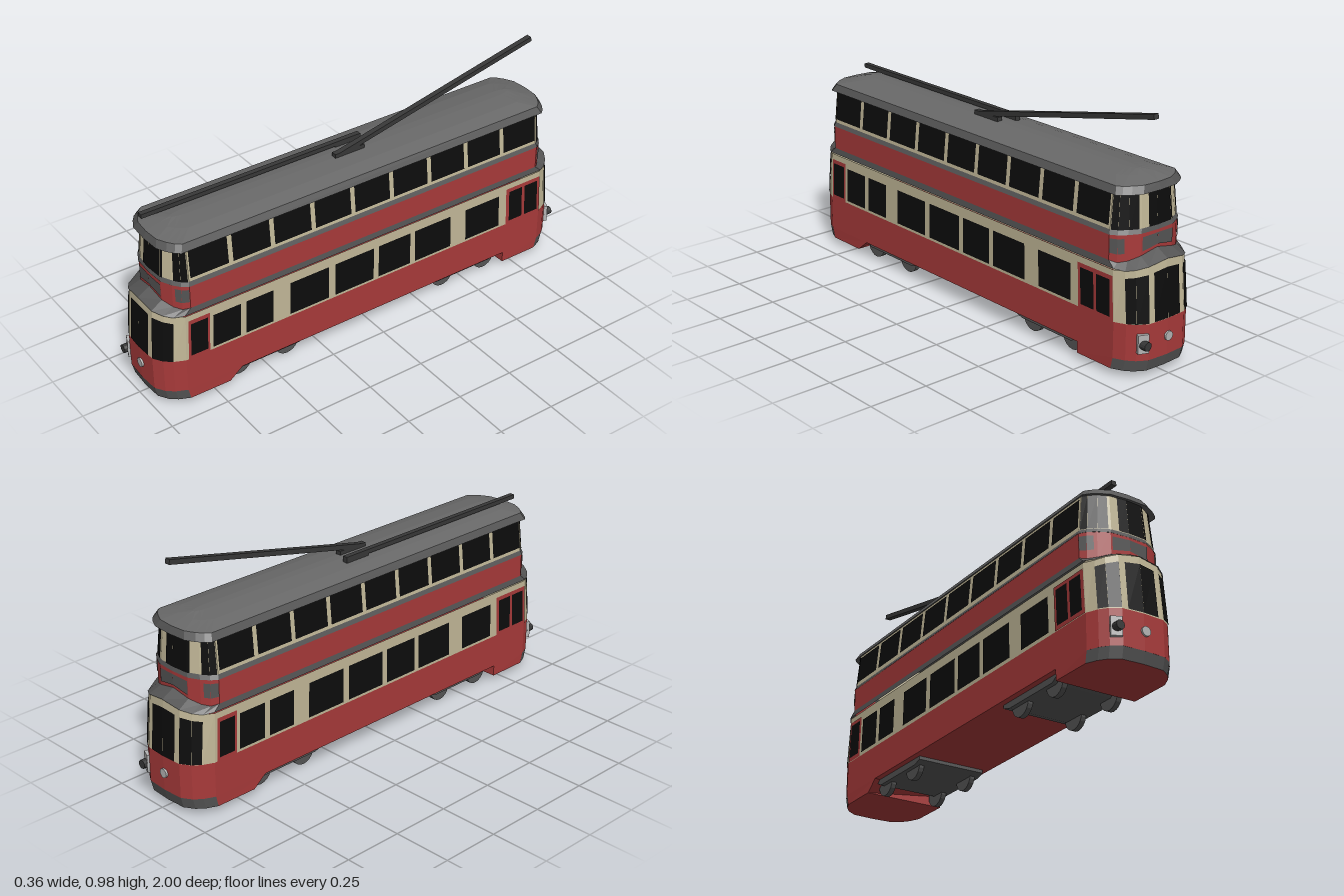
import * as THREE from 'three';

const mat = (color) => new THREE.MeshStandardMaterial({ color, flatShading: true, side: THREE.DoubleSide });
const RED = mat(0xa83a3a), CREAM = mat(0xc2b898), GREY = mat(0x555555), ROOF = mat(0x686868);
const GLASS = mat(0x0c0c0c), DARK = mat(0x383838), LIGHT = mat(0xb4b4b4);

// Half outlines of one end [x, z], from the centre line round to the side
const LOW = [[0, 0.985], [0.09, 0.98], [0.13, 0.955], [0.155, 0.925], [0.175, 0.88]];
const LOW_TOP = [[0, 0.97], [0.087, 0.963], [0.127, 0.938], [0.152, 0.908], [0.174, 0.87]];
const UP = [[0, 0.92], [0.08, 0.915], [0.125, 0.893], [0.155, 0.87], [0.173, 0.845]];
const UP_TOP = [[0, 0.905], [0.07, 0.9], [0.11, 0.88], [0.137, 0.86], [0.153, 0.84]];
const N = 4;

// One end as points from +x round the front to -x
function endRing(plan, ys) {
  const p = plan.map(([x, z], i) => new THREE.Vector3(x, Array.isArray(ys) ? ys[i] : ys, z));
  return [...p.slice(1).reverse(), ...p.map((v) => new THREE.Vector3(-v.x, v.y, v.z))];
}

// Closed ring: one end plus the same end turned by 180 degrees
function ring(plan, ys) {
  const e = endRing(plan, ys);
  return [...e, ...e.map((v) => new THREE.Vector3(-v.x, v.y, -v.z))];
}

const grow = (plan, dx, dz) => plan.map(([x, z]) => [x === 0 ? 0 : x + dx, z + dz]);

function triMesh(name, material, tris) {
  const g = new THREE.BufferGeometry().setFromPoints(tris);
  g.computeVertexNormals();
  const m = new THREE.Mesh(g, material);
  m.name = name;
  return m;
}

const quad = (a, b, c, d) => [a, b, c, a, c, d];

// Wall between two closed rings
function wall(name, material, lo, hi, keep = () => true) {
  const tris = [];
  lo.forEach((a, i) => {
    const j = (i + 1) % lo.length;
    if (keep(i)) tris.push(...quad(lo[j], a, hi[i], hi[j]));
  });
  return triMesh(name, material, tris);
}

function cap(name, material, loop, centre, down) {
  const tris = [];
  loop.forEach((a, i) => {
    const b = loop[(i + 1) % loop.length];
    tris.push(...(down ? [centre, a, b] : [centre, b, a]));
  });
  return triMesh(name, material, tris);
}

// Panel lying on a wall, following its facets from s0 to s1 along the ring
function panel(name, material, lo, hi, s0, s1, v0, v1, off = 0.003) {
  const at = (s, v, i) => {
    const j = (i + 1) % lo.length;
    return lo[i].clone().lerp(lo[j], s - i).lerp(hi[i].clone().lerp(hi[j], s - i), v);
  };
  const tris = [];
  for (let s = s0; s < s1 - 1e-6;) {
    const i = Math.floor(s + 1e-6), e = Math.min(i + 1, s1);
    const q = [at(e, v0, i), at(s, v0, i), at(s, v1, i), at(e, v1, i)];
    const n = q[1].clone().sub(q[0]).cross(q[3].clone().sub(q[0])).normalize().multiplyScalar(off);
    q.forEach((p) => p.add(n));
    tris.push(...quad(...q));
    s = e;
  }
  return triMesh(name, material, tris);
}

// Ring position of an x on the front, or of a z on the -x side
function sx(r, x) {
  let i = 0;
  while (i < 2 * N - 1 && r[i + 1].x > x) i++;
  return i + (r[i].x - x) / (r[i].x - r[i + 1].x);
}
const sz = (r, z) => 2 * N + (r[2 * N].z - z) / (2 * r[2 * N].z);

function box(name, material, w, h, d, x, y, z) {
  const m = new THREE.Mesh(new THREE.BoxGeometry(w, h, d), material);
  m.name = name;
  m.position.set(x, y, z);
  return m;
}

function disc(name, material, r, depth, x, y, z, axis, sides = 16) {
  const g = new THREE.CylinderGeometry(r, r, depth, sides);
  if (axis === 'x') g.rotateZ(Math.PI / 2); else g.rotateX(Math.PI / 2);
  const m = new THREE.Mesh(g, material);
  m.name = name;
  m.position.set(x, y, z);
  return m;
}

export function createModel() {
  const model = new THREE.Group();
  model.name = 'doubleDeckTram';

  // Rings of the body from bottom to top
  const floor = ring(LOW, 0.072), waist = ring(LOW, 0.217);
  const lowTop = ring(LOW_TOP, [0.45, 0.437, 0.427, 0.42, 0.42]);
  const eaveLo = ring(grow(LOW_TOP, 0.002, 0.004), [0.45, 0.437, 0.427, 0.42, 0.425]);
  const eaveHi = ring(UP, [0.48, 0.462, 0.447, 0.442, 0.45]);
  const sill = ring(UP, 0.55), sillTop = ring(grow(UP, -0.006, -0.003), 0.566);
  const top = ring(UP_TOP, 0.712);

  model.add(
    wall('lowerPanels', RED, floor, waist),
    cap('floor', RED, floor, new THREE.Vector3(0, 0.072, 0), true),
    wall('lowerWindowBand', CREAM, waist, lowTop),
    wall('canopy', GREY, eaveLo, eaveHi),
    wall('upperPanels', RED, eaveHi, sill),
    wall('upperSill', GREY, ring(grow(UP, 0.002, 0.002), 0.549), sillTop),
    wall('upperWindowBand', CREAM, sillTop, top),
  );

  // Roof with overhanging rim and shallow crown
  const rim = ring(grow(UP_TOP, 0.014, 0.025), 0.703);
  const shoulder = ring(grow(UP_TOP, -0.002, 0.012), 0.731);
  const crown = ring(UP_TOP.map(([x, z]) => [x * 0.6, z - 0.05]), 0.747);
  const ridge = ring(UP_TOP.map(([x, z]) => [x * 0.12, z - 0.09]), 0.756);
  model.add(
    wall('roofUnderside', GREY, top, rim),
    wall('roofRim', GREY, rim, shoulder),
    wall('roofSlope', ROOF, shoulder, crown),
    wall('roofCrown', ROOF, crown, ridge),
    cap('roofRidge', ROOF, ridge, new THREE.Vector3(0, 0.756, 0), false),
  );

  // Everything that repeats on the other end and side after a half turn
  const half = new THREE.Group();
  half.name = 'endAndSide';
  const front = (name, m, lo, hi, xa, xb, v0, v1) => half.add(panel(name, m, lo, hi, sx(lo, xb), sx(lo, xa), v0, v1));
  const side = (name, m, lo, hi, za, zb, v0, v1, off) => half.add(panel(name, m, lo, hi, sz(lo, za), sz(lo, zb), v0, v1, off));

  // Cab windows
  for (const [a, b] of [[-0.155, -0.09], [-0.066, 0.066], [0.09, 0.155]]) {
    front('cabWindow', GLASS, waist, lowTop, a, b, 0.01, 0.86);
  }
  for (const [a, b] of [[-0.165, -0.084], [-0.042, 0.085], [0.126, 0.165]]) {
    front('upperEndWindow', GLASS, sillTop, top, a, b, 0, 1);
  }
  // Blind and corner panels
  front('destinationBlind', GREY, eaveHi, sill, -0.075, 0.08, 0.18, 0.82);
  front('cornerPanel', GREY, eaveHi, sill, 0.135, 0.172, 0.3, 0.85);
  front('cornerPanel', GREY, eaveHi, sill, -0.172, -0.135, 0.3, 0.85);

  // Side windows
  for (const [a, b] of [[0.655, 0.475], [0.395, 0.21], [0.185, 0.025], [0, -0.19], [-0.22, -0.405], [-0.485, -0.61], [-0.635, -0.76]]) {
    side('lowerSideWindow', GLASS, waist, lowTop, a, b, 0.06, 0.79);
  }
  for (let i = 0; i < 9; i++) {
    const z = (4 - i) * 0.188;
    side('upperSideWindow', GLASS, sillTop, top, z + 0.084, z - 0.084, 0.1, 0.92);
  }
  // Doors: a double one near this end, a single one at the far end
  side('doubleDoor', RED, waist, lowTop, 0.88, 0.695, 0, 0.88);
  side('singleDoor', RED, waist, lowTop, -0.775, -0.87, 0, 0.88);
  for (const [a, b] of [[0.865, 0.795], [0.78, 0.71], [-0.785, -0.86]]) {
    side('doorWindow', GLASS, waist, lowTop, a, b, 0.08, 0.8, 0.005);
  }

  // Deep end skirt with bumper, sloping up on one side
  const hiSkirt = [new THREE.Vector3(0.175, 0.074, 0.63), ...endRing(LOW, 0.074), new THREE.Vector3(-0.175, 0.074, 0.69)];
  const loSkirt = [new THREE.Vector3(0.175, 0.026, 0.69), ...endRing(grow(LOW, -0.001, -0.012), 0.026), new THREE.Vector3(-0.175, 0.026, 0.69)];
  const isBumper = (i) => i >= 1 && i <= 2 * N;
  half.add(
    wall('bumper', GREY, loSkirt, hiSkirt, isBumper),
    wall('skirt', RED, loSkirt, hiSkirt, (i) => !isBumper(i)),
    cap('skirtFloor', RED, loSkirt, new THREE.Vector3(0, 0.026, 0.8), true),
  );

  // Lamps
  const plate = box('lampPlate', LIGHT, 0.043, 0.075, 0.03, -0.11, 0.143, 0.965);
  plate.rotation.y = -0.4;
  half.add(
    plate,
    disc('sideLamp', DARK, 0.018, 0.04, -0.114, 0.14, 0.98, 'z', 12),
    disc('headlamp', LIGHT, 0.019, 0.02, 0.005, 0.147, 0.982, 'z'),
  );

  // Bogie with sloped ends, and its wheels
  const s = new THREE.Shape([[0.31, 0.08], [0.31, 0.058], [0.35, 0.046], [0.63, 0.046], [0.68, 0.075], [0.68, 0.08]]
    .map(([z, y]) => new THREE.Vector2(-z, y)));
  const bogie = new THREE.Mesh(new THREE.ExtrudeGeometry(s, { depth: 0.3, bevelEnabled: false }), GREY);
  bogie.geometry.rotateY(Math.PI / 2).translate(-0.15, 0, 0);
  bogie.name = 'bogie';
  half.add(bogie);
  for (const x of [-0.12, 0.12]) {
    for (const z of [0.395, 0.62]) half.add(disc('wheel', GREY, 0.054, 0.022, x, 0.055, z, 'x', 20));
  }

  const other = half.clone();
  other.rotation.y = Math.PI;
  model.add(half, other);

  // Trolley poles: one stowed, one raised
  const raised = box('raisedPole', DARK, 0.024, 0.02, 1.0, 0.015, 0.868, -0.42);
  raised.rotation.x = 0.218;
  model.add(
    raised,
    box('raisedPoleBase', DARK, 0.024, 0.02, 0.14, 0.015, 0.762, 0.01),
    box('stowedPole', DARK, 0.022, 0.018, 1.0, -0.054, 0.767, 0.41),
    box('stowedPoleBase', DARK, 0.022, 0.03, 0.12, -0.054, 0.755, -0.03),
  );
  return model;
}
